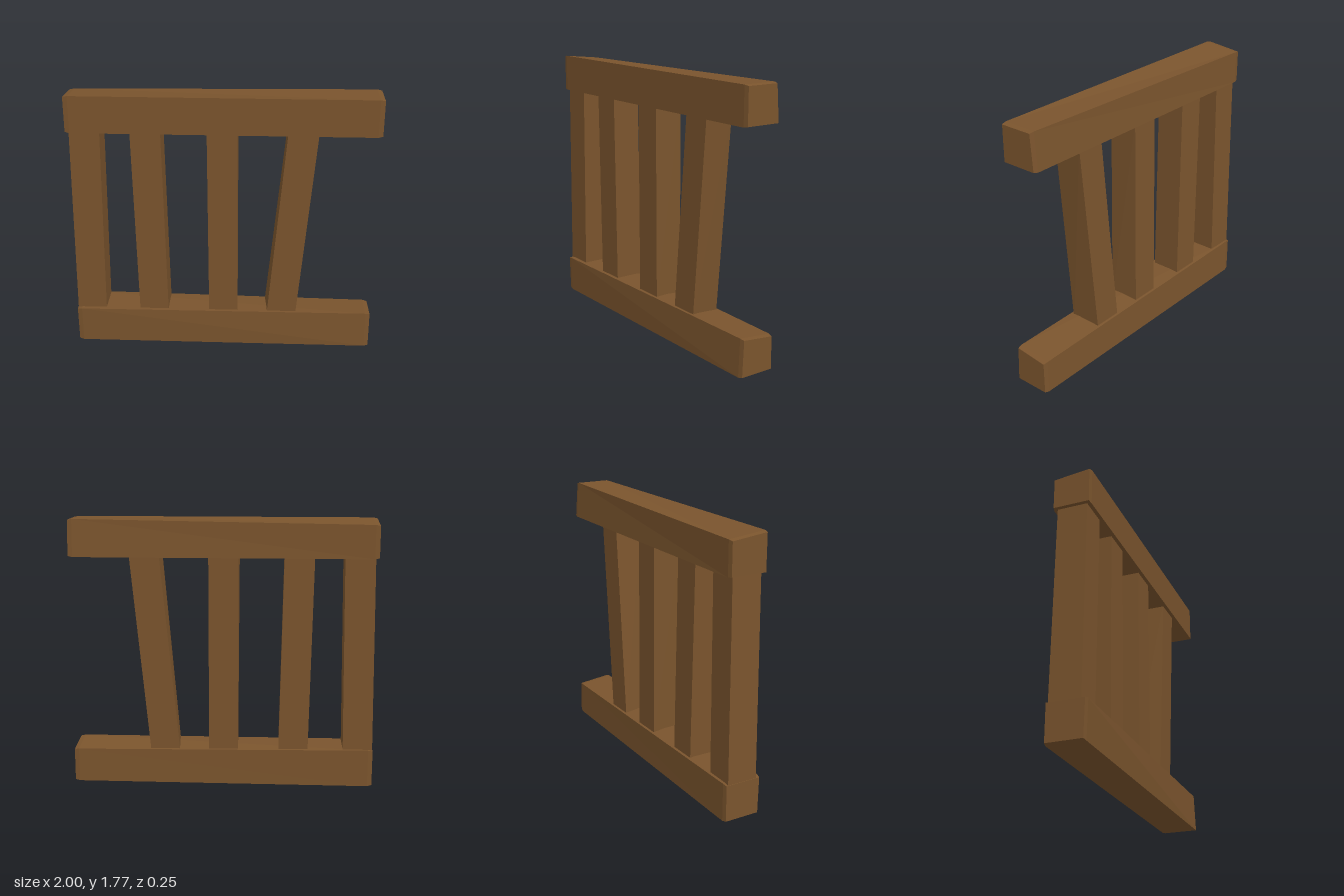
import * as THREE from 'three';

// Flat-shaded loft through four-cornered rings, each counter-clockwise seen from the last ring.
function loft(rings) {
  const pos = [];
  const quad = (a, b, c, d) => pos.push(...a, ...b, ...c, ...a, ...c, ...d);
  for (let r = 0; r < rings.length - 1; r++) {
    for (let i = 0; i < 4; i++) {
      const j = (i + 1) % 4;
      quad(rings[r][i], rings[r][j], rings[r + 1][j], rings[r + 1][i]);
    }
  }
  const s = rings[0], e = rings[rings.length - 1];
  quad(s[3], s[2], s[1], s[0]);
  quad(e[0], e[1], e[2], e[3]);
  const geo = new THREE.BufferGeometry();
  geo.setAttribute('position', new THREE.Float32BufferAttribute(pos, 3));
  geo.computeVertexNormals();
  return geo;
}

// Rail along x; each end section lists [y, z]: front bottom, back bottom, back top, front top.
function railGeometry(start, end) {
  const ring = (x, section, inset) => {
    const cy = section.reduce((t, p) => t + p[0], 0) / 4;
    const cz = section.reduce((t, p) => t + p[1], 0) / 4;
    return section.map(([y, z]) => [x, y - Math.sign(y - cy) * inset, z - Math.sign(z - cz) * inset]);
  };
  return loft([ring(-1, start, 0.006), ring(-0.97, start, 0), ring(0.97, end, 0), ring(1, end, 0.006)]);
}

// Upright whose ends are sunk into both rails.
function postGeometry(bottomX, topX, skew) {
  const at = (y) => {
    const t = (y - 0.25) / 1.27;
    const x = bottomX + (topX - bottomX) * t;
    const s = skew * (1 - t);
    const back = -0.106 + 0.006 * t;
    return [[x - 0.0975, y, 0.096], [x + 0.0975, y, 0.096],
      [x + 0.0975 - s, y, back], [x - 0.0975 - s, y, back]];
  };
  return loft([at(0.2), at(1.55)]);
}

export function createModel() {
  const group = new THREE.Group();
  const wood = new THREE.MeshStandardMaterial({ color: 0x7a542d });
  wood.name = 'brownWood';
  const add = (name, geo) => {
    const mesh = new THREE.Mesh(geo, wood);
    mesh.name = name;
    group.add(mesh);
  };

  // Hand-cut rails, slightly twisted from end to end
  add('topRail', railGeometry(
    [[1.525, 0.121], [1.525, -0.125], [1.742, -0.125], [1.768, 0.121]],
    [[1.525, 0.121], [1.525, -0.124], [1.768, -0.106], [1.768, 0.121]]));
  add('bottomRail', railGeometry(
    [[0, 0.12], [0, -0.124], [0.25, -0.124], [0.25, 0.126]],
    [[0, 0.12], [0, -0.124], [0.226, -0.122], [0.25, 0.11]]));

  // Four crooked posts: bottom centre, top centre, backward skew
  const posts = [[-0.9, -0.882, 0], [-0.472, -0.495, 0], [0.002, -0.006, 0.01], [0.398, 0.507, 0.013]];
  posts.forEach(([b, t, s], i) => add(`post${i + 1}`, postGeometry(b, t, s)));
  return group;
}
